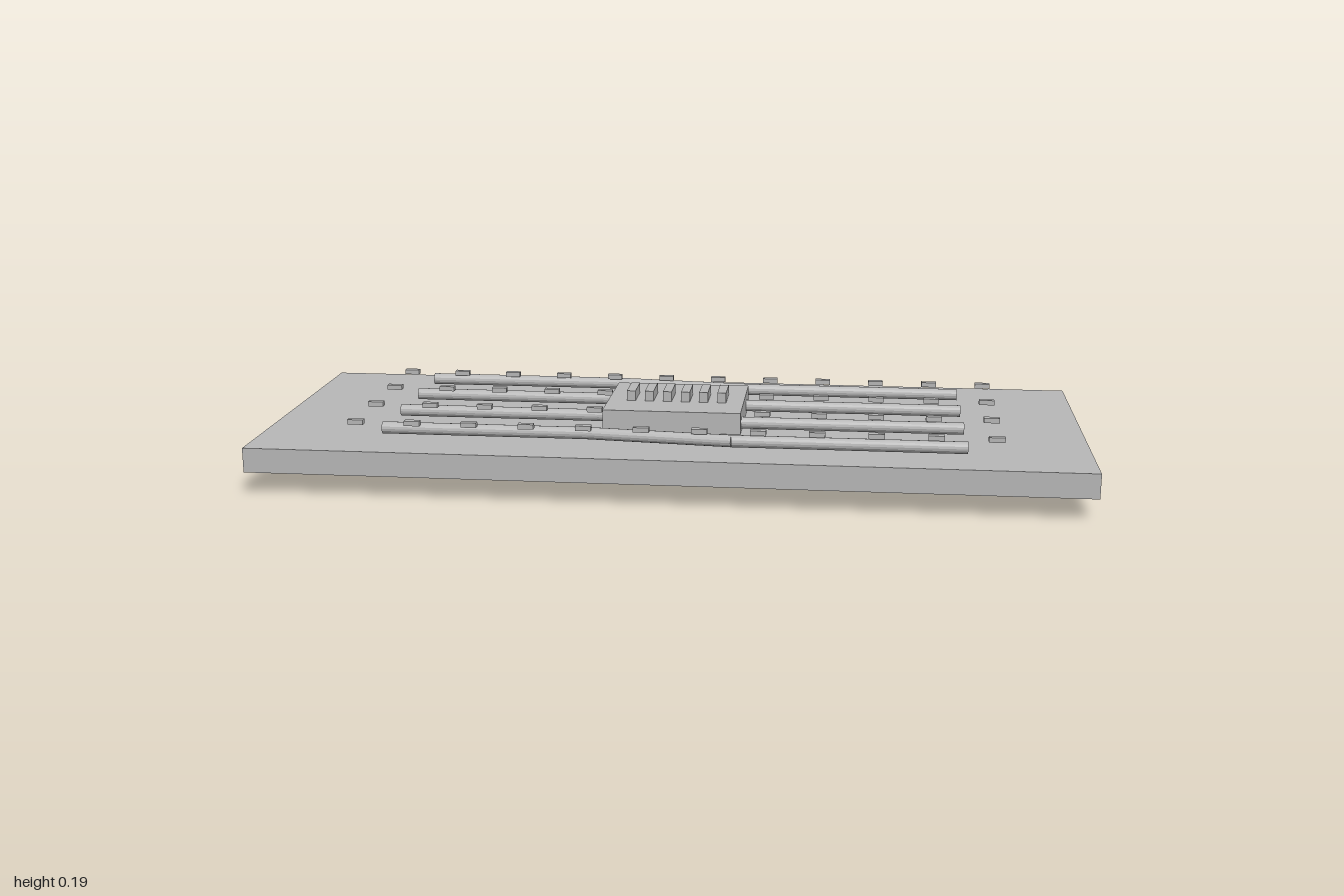
import * as THREE from 'three';

export function createModel() {
  const model = new THREE.Group();
  const grey = new THREE.MeshStandardMaterial({ color: 0xb8b8b8, flatShading: true });
  grey.name = 'grey';

  function box(name, w, h, d, x, y, z, parent = model) {
    const mesh = new THREE.Mesh(new THREE.BoxGeometry(w, h, d), grey);
    mesh.name = name;
    mesh.position.set(x, y, z);
    parent.add(mesh);
  }

  // Round rod between two points
  function rod(name, a, b, radius, parent) {
    const dir = b.clone().sub(a);
    const mesh = new THREE.Mesh(new THREE.CylinderGeometry(radius, radius, dir.length(), 16), grey);
    mesh.name = name;
    mesh.position.copy(a).add(b).multiplyScalar(0.5);
    mesh.quaternion.setFromUnitVectors(new THREE.Vector3(0, 1, 0), dir.normalize());
    parent.add(mesh);
  }

  // Board with a block running through its middle
  box('board', 2, 0.06, 0.788, 0, 0.085, 0);
  box('centreBlock', 0.34, 0.168, 0.289, -0.003, 0.084, 0.002);

  // Row of fins on the block
  const fins = new THREE.Group();
  fins.name = 'fins';
  model.add(fins);
  for (let i = 0; i < 6; i++) box('fin', 0.022, 0.027, 0.088, -0.115 + i * 0.0455, 0.1795, 0.001, fins);

  // Four rows, each a pipe with a sideways jog and a line of small tabs
  for (let row = 0; row < 4; row++) {
    const group = new THREE.Group();
    group.name = 'pipeRow';
    model.add(group);
    const z = 0.279 - row * 0.172;
    const path = [[-0.698, z - 0.034], [-0.195, z - 0.034], [0.155, z], [0.708, z]]
      .map(([x, pz]) => new THREE.Vector3(x, 0.135, pz));
    for (let i = 0; i < 3; i++) rod('pipe', path[i], path[i + 1], 0.0147, group);
    for (let i = 0; i < 12; i++) {
      box('tab', 0.038, 0.012, 0.016, -0.755 + i * 0.139, 0.157, 0.278 - row * 0.1775, group);
    }
  }
  return model;
}
